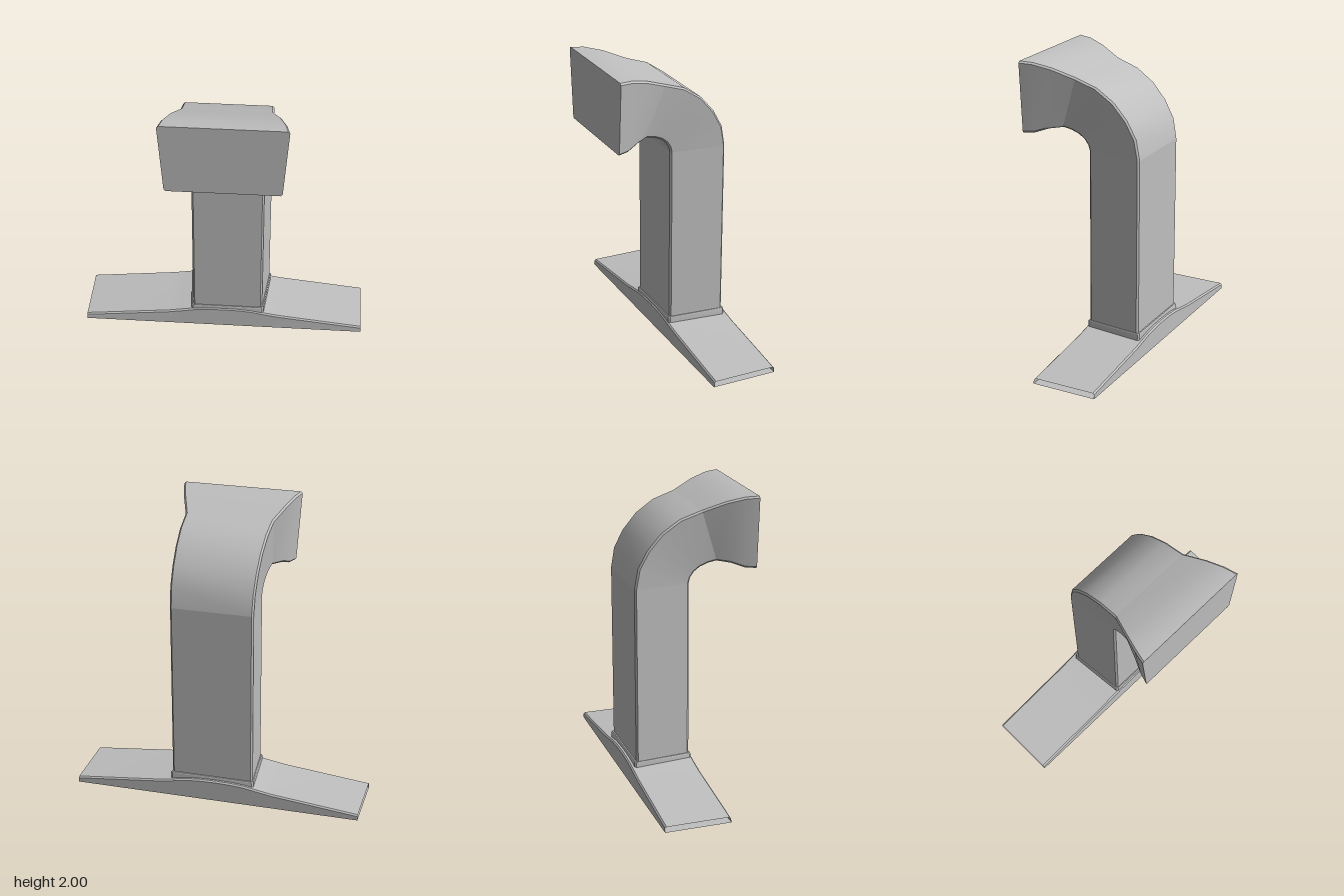
import * as THREE from 'three';

// Skins a row of closed rings (counter-clockwise about the travel direction).
// Each side is its own strip: smooth along the length, sharp across the corners.
function loft(rings, capEnd = false, capStart = false) {
  const pos = [], idx = [];
  const n = rings[0].length;
  for (let j = 0; j < n; j++) {
    const base = pos.length / 3;
    rings.forEach((r, i) => {
      pos.push(...r[j], ...r[(j + 1) % n]);
      if (i < rings.length - 1) {
        const a = base + i * 2;
        idx.push(a, a + 1, a + 2, a + 1, a + 3, a + 2);
      }
    });
  }
  const cap = (ring, flip) => {
    const base = pos.length / 3;
    ring.forEach(p => pos.push(...p));
    for (let k = 1; k < n - 1; k++) {
      idx.push(base, base + (flip ? k + 1 : k), base + (flip ? k : k + 1));
    }
  };
  if (capEnd) cap(rings[rings.length - 1], false);
  if (capStart) cap(rings[0], true);
  const g = new THREE.BufferGeometry();
  g.setAttribute('position', new THREE.Float32BufferAttribute(pos, 3));
  g.setIndex(idx);
  g.computeVertexNormals();
  return g;
}

// Bevelled trapezoid ring: outer edge (z, y, half width) and inner edge (z, y, half width)
const CX = 0.03;
function ductRing([oz, oy, ow, iz, iy, iw], b = 0.012) {
  const len = Math.hypot(oz - iz, oy - iy);
  const uz = (oz - iz) / len * b, uy = (oy - iy) / len * b;
  return [
    [CX - iw + b, iy, iz], [CX + iw - b, iy, iz],
    [CX + iw, iy + uy, iz + uz], [CX + ow, oy - uy, oz - uz],
    [CX + ow - b, oy, oz], [CX - ow + b, oy, oz],
    [CX - ow, oy - uy, oz - uz], [CX - iw, iy + uy, iz + uz],
  ];
}

export function createModel() {
  const group = new THREE.Group();
  const grey = new THREE.MeshStandardMaterial({ color: 0xbfbfbf, side: THREE.DoubleSide });
  grey.name = 'plain grey';
  const add = (name, geometry) => {
    const mesh = new THREE.Mesh(geometry, grey);
    mesh.name = name;
    group.add(mesh);
  };

  // Arched foot, hollow with open ends
  const half = [[0, 0.15], [0.1, 0.148], [0.2, 0.14], [0.3, 0.122], [0.4, 0.105], [1, 0.04]];
  const arch = [...half.slice(1).reverse().map(([x, h]) => [-x, h]), ...half];
  add('foot', loft(arch.map(([x, h]) => [
    [x, 0, -0.43], [x, h - 0.01, -0.43], [x, h, -0.42],
    [x, h, 0.01], [x, h - 0.01, 0.02], [x, 0, 0.025],
  ])));

  // Collar where the column meets the foot
  add('collar', loft([0.1, 0.16, 0.167].map((y, i) => {
    const s = i === 2 ? 0.006 : 0;
    return ductRing([-0.405 + s, y, 0.295 - s, 0.012 - s, y, 0.262 - s]);
  }), true));

  // Upright column
  const bendStart = [-0.39, 1.4, 0.285, 0, 1.4, 0.25];
  add('column', loft([[-0.39, 0.13, 0.285, 0, 0.13, 0.25], bendStart].map(s => ductRing(s))));

  // Forward bend
  const nozzleStart = [0.07, 1.905, 0.305, 0.185, 1.545, 0.275];
  add('bend', loft([
    bendStart,
    [-0.365, 1.54, 0.288, 0.01, 1.44, 0.253],
    [-0.3, 1.66, 0.291, 0.035, 1.478, 0.257],
    [-0.205, 1.77, 0.295, 0.075, 1.51, 0.262],
    [-0.08, 1.855, 0.3, 0.13, 1.533, 0.268],
    nozzleStart,
  ].map(s => ductRing(s))));

  // Flared head with a flat front
  add('head', loft([
    nozzleStart,
    [0.22, 1.965, 0.36, 0.27, 1.535, 0.325],
    [0.34, 1.995, 0.398, 0.355, 1.505, 0.362],
    [0.43, 2, 0.42, 0.43, 1.5, 0.385],
  ].map(s => ductRing(s)), true));

  return group;
}
